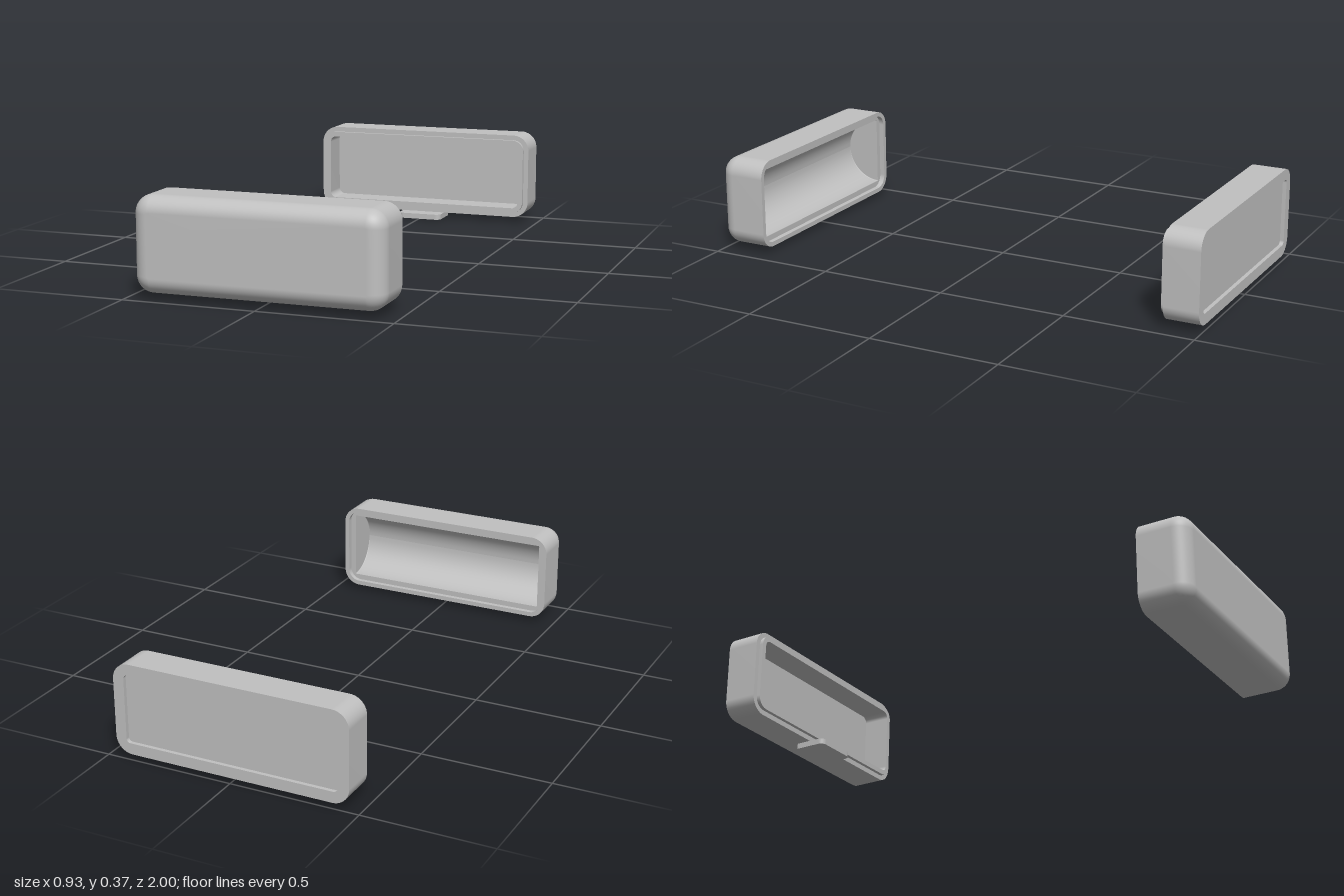
import * as THREE from 'three';
import { mergeGeometries } from 'three/addons/utils/BufferGeometryUtils.js';

const CENTER_Y = 0.197;
const CORNER_STEPS = 10;

// Rounded rectangle outline in the xy plane; half sizes w and h, corner radius r
function ring([w, h, r, z]) {
  const points = [];
  const rad = Math.min(r, w, h);
  [[1, 1], [-1, 1], [-1, -1], [1, -1]].forEach(([sx, sy], corner) => {
    for (let i = 0; i <= CORNER_STEPS; i++) {
      const a = (corner + i / CORNER_STEPS) * Math.PI / 2;
      points.push(sx * (w - rad) + rad * Math.cos(a), sy * (h - rad) + rad * Math.sin(a), z);
    }
  });
  return points;
}

// Smooth skin through successive rings
function skin(rings) {
  const n = 4 * (CORNER_STEPS + 1);
  const index = [];
  for (let k = 0; k < rings.length - 1; k++) {
    for (let i = 0; i < n; i++) {
      const a = k * n + i, b = k * n + (i + 1) % n;
      index.push(a, b, b + n, a, b + n, a + n);
    }
  }
  const g = new THREE.BufferGeometry();
  g.setAttribute('position', new THREE.Float32BufferAttribute(rings.flatMap(ring), 3));
  g.setIndex(index);
  g.computeVertexNormals();
  return g;
}

// Each consecutive pair of rings becomes a band with hard edges
const bands = (rings) => rings.slice(1).map((r, i) => skin([rings[i], r]));

export function createModel() {
  const group = new THREE.Group();
  const grey = new THREE.MeshStandardMaterial({ color: 0xc0c0c0 });
  grey.name = 'light grey';
  const add = (name, geometry, y = 0) => {
    const mesh = new THREE.Mesh(geometry, grey);
    mesh.name = name;
    mesh.position.y = y;
    group.add(mesh);
  };

  const W = 0.463, H = 0.175, R = 0.065;

  // Back tray: recessed rear panel, outer wall, raised lip and inner pocket
  add('backTray', mergeGeometries(bands([
    [0, 0, 0, -0.985],
    [0.42, 0.132, 0.015, -0.985],
    [0.42, 0.132, 0.015, -1],
    [W, H, R, -1],
    [W, H, R, -0.865],
    [0.443, 0.155, 0.045, -0.865],
    [0.443, 0.155, 0.045, -0.85],
    [0.423, 0.135, 0.025, -0.85],
    [0.423, 0.135, 0.025, -0.96],
    [0, 0, 0, -0.96],
  ])), CENTER_Y);

  // Front cover: trough-shaped cavity, stepped rim and filleted shell
  const trough = [], shell = [[W, H, R, 0.805]];
  const steps = 14, fillet = 0.06;
  for (let i = 0; i <= steps; i++) {
    const a = (i / steps) * Math.PI / 2;
    trough.push([0.423, 0.135 * Math.sin(a), 0.003, 0.825 + 0.135 * Math.cos(a)]);
    const inset = fillet * (1 - Math.cos(a));
    shell.push([W - inset, H - inset, R - inset, 1 - fillet + fillet * Math.sin(a)]);
  }
  shell.push([0, 0, 0, 1]);
  add('frontCover', mergeGeometries([
    skin(trough),
    ...bands([
      [0.423, 0.135, 0.003, 0.825],
      [0.445, 0.157, 0.047, 0.825],
      [0.445, 0.157, 0.047, 0.805],
      [W, H, R, 0.805],
    ]),
    skin(shell),
  ]), CENTER_Y);

  // Flat tab under the tray with rounded front corners
  const tw = 0.093, back = -0.925, front = -0.8, tr = 0.022;
  const s = new THREE.Shape();
  s.moveTo(-tw, back);
  s.lineTo(tw, back);
  s.lineTo(tw, front - tr);
  s.absarc(tw - tr, front - tr, tr, 0, Math.PI / 2);
  s.lineTo(-tw + tr, front);
  s.absarc(-tw + tr, front - tr, tr, Math.PI / 2, Math.PI);
  s.closePath();
  const tab = new THREE.ExtrudeGeometry(s, { depth: 0.022, bevelEnabled: false, curveSegments: 10 });
  tab.rotateX(Math.PI / 2);
  add('tab', tab, 0.022);

  return group;
}
